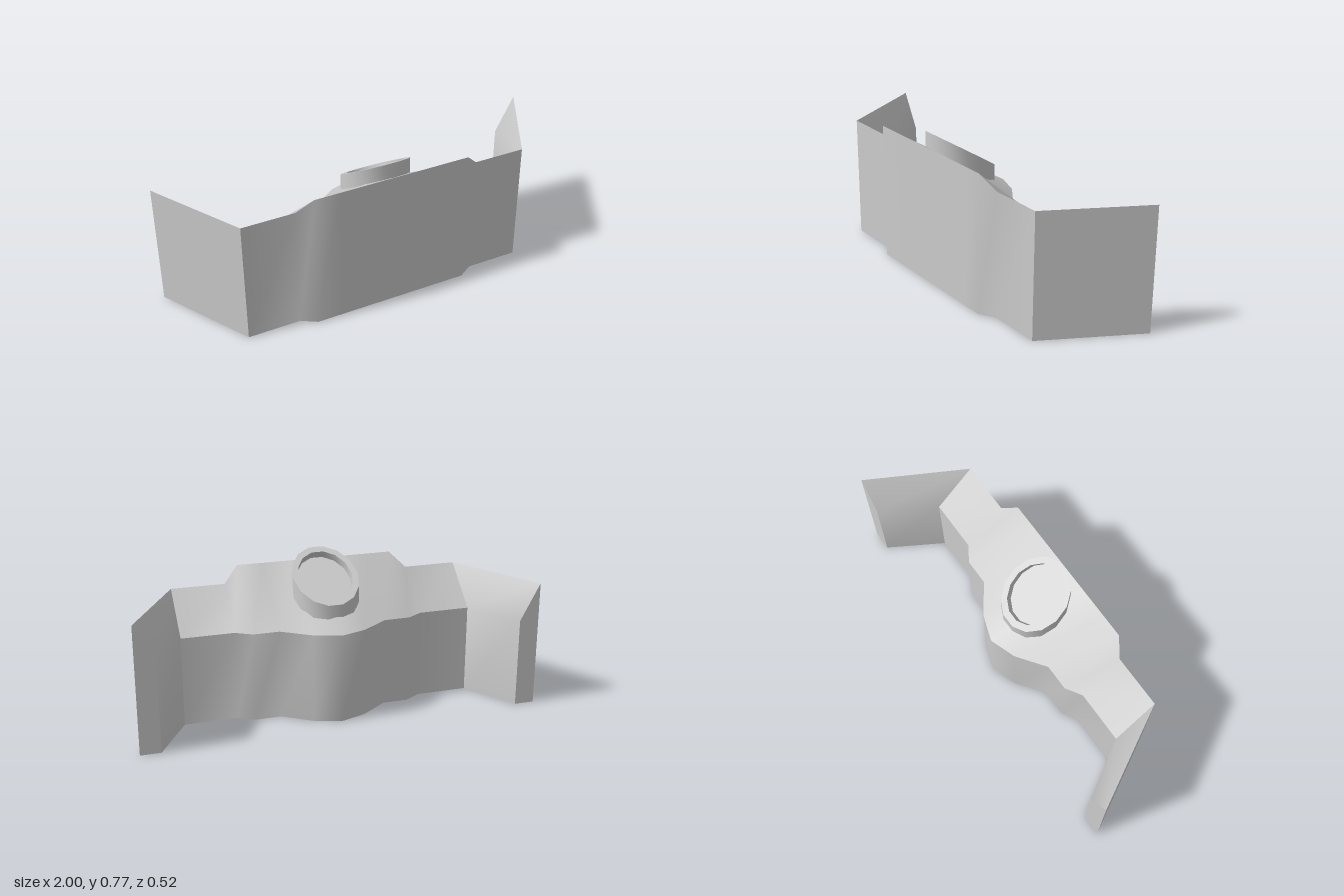
import * as THREE from 'three';
import { toCreasedNormals } from 'three/addons/utils/BufferGeometryUtils.js';

const material = new THREE.MeshStandardMaterial({ color: 0xcccccc });
const BACK_HEIGHT = 0.445;

// Right half, centre to tip: [front x, front z, front height, back x, back z]
const stations = [
  [0, 0.26, 0.705, 0, -0.187],
  [0.13, 0.26, 0.705, 0.13, -0.142],
  [0.27, 0.26, 0.705, 0.27, -0.04],
  [0.4, 0.26, 0.705, 0.4, -0.04],
  [0.475, 0.213, 0.63, 0.48, 0.01],
  [0.74, 0.213, 0.63, 0.74, 0.01],
  [1, -0.26, 0.63, 0.9, -0.26],
];

// Four-cornered cross-sections lofted from the left tip to the right tip
function bandGeometry() {
  const mirrored = stations.slice(1).reverse().map(([fx, fz, h, bx, bz]) => [-fx, fz, h, -bx, bz]);
  const loops = [...mirrored, ...stations].map(([fx, fz, h, bx, bz]) => [
    [fx, 0, fz], [fx, h, fz], [bx, BACK_HEIGHT, bz], [bx, 0, bz],
  ]);
  const positions = [];
  const quad = (a, b, c, d) => positions.push(...a, ...b, ...c, ...a, ...c, ...d);
  for (let i = 0; i < loops.length - 1; i++) {
    for (let k = 0; k < 4; k++) {
      const n = (k + 1) % 4;
      quad(loops[i][k], loops[i + 1][k], loops[i + 1][n], loops[i][n]);
    }
  }
  const first = loops[0];
  const last = loops[loops.length - 1];
  quad(...first);
  quad(...[...last].reverse());
  const geometry = new THREE.BufferGeometry();
  geometry.setAttribute('position', new THREE.Float32BufferAttribute(positions, 3));
  return toCreasedNormals(geometry, 0.7);
}

// Recessed round boss with upright walls, sheared so its rim follows the sloping top
function bossGeometry() {
  const slope = 0.636;
  const floor = -0.034;
  const profile = [[0.165, -0.2], [0.165, 0], [0.135, 0], [0.135, floor], [0, floor]]
    .map(([r, y]) => new THREE.Vector2(r, y));
  const sides = 14;
  const geometry = new THREE.LatheGeometry(profile, sides, Math.PI / sides);
  const p = geometry.attributes.position;
  for (let i = 0; i < p.count; i++) {
    const y = p.getY(i);
    const z = p.getZ(i);
    p.setY(i, y + slope * z);
    // The recess runs square to the rim, so its floor sits further forward
    if (Math.abs(y - floor) < 1e-5) p.setZ(i, z + 0.021);
  }
  return toCreasedNormals(geometry, 0.7);
}

export function createModel() {
  const model = new THREE.Group();
  model.name = 'bracket';

  const band = new THREE.Mesh(bandGeometry(), material);
  band.name = 'body';

  const boss = new THREE.Mesh(bossGeometry(), material);
  boss.name = 'recessedBoss';
  boss.position.set(0, 0.668, 0.075);

  model.add(band, boss);
  return model;
}
